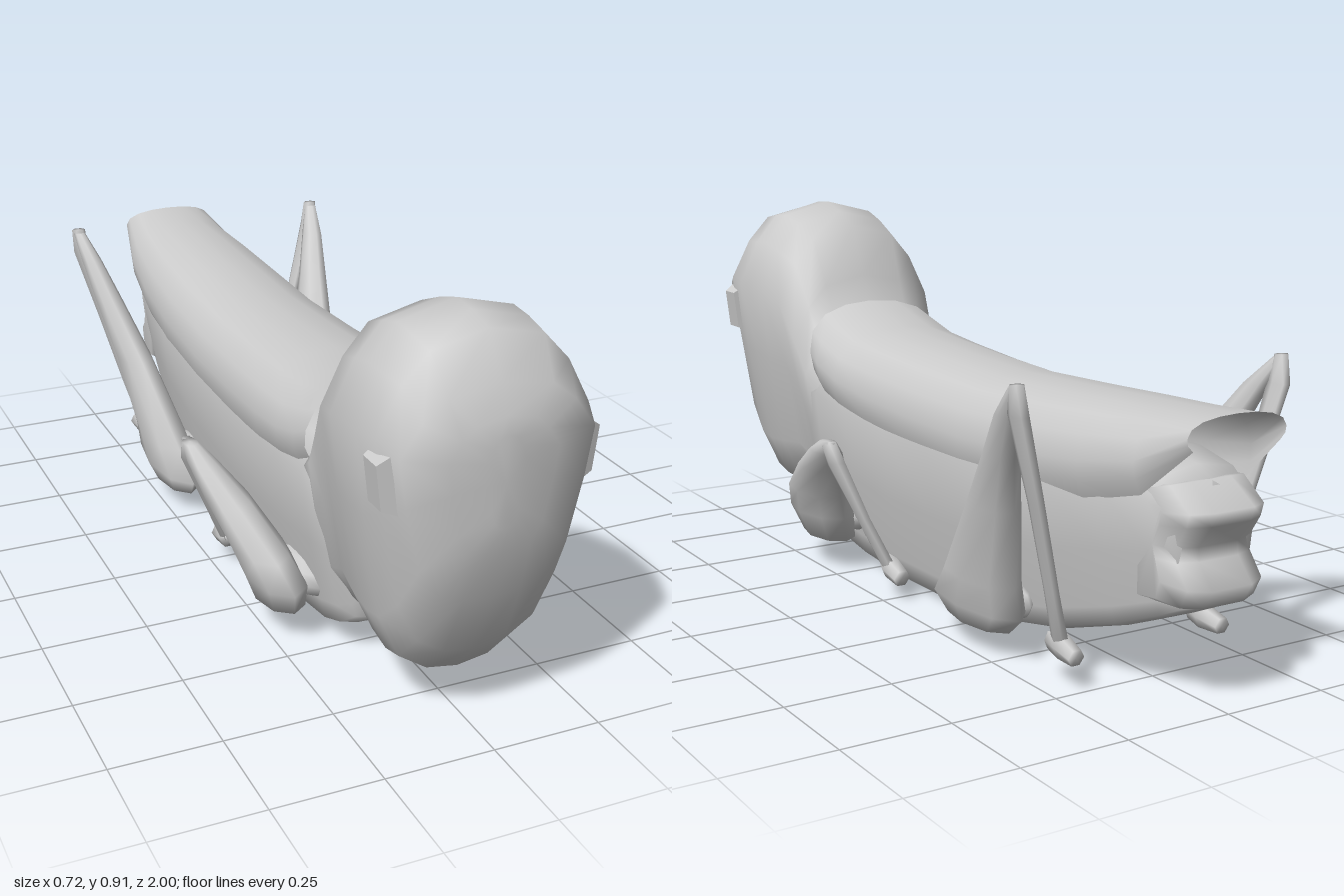
import * as THREE from 'three';

const grey = new THREE.MeshStandardMaterial({ color: 0xcccccc });
const greySheet = new THREE.MeshStandardMaterial({ color: 0xcccccc, side: THREE.DoubleSide });

// Skin over a row of rings of [x, y, z]; rings run counter-clockwise seen from the last one
function loft(name, rings, { closed = true, caps = true, material = grey } = {}) {
  const n = rings[0].length;
  const pos = rings.flat(2);
  const index = [];
  for (let i = 0; i < rings.length - 1; i++) {
    for (let j = 0; j < (closed ? n : n - 1); j++) {
      const k = (j + 1) % n;
      const a = i * n + j, b = i * n + k;
      index.push(a, b, b + n, a, b + n, a + n);
    }
  }
  if (caps) {
    [0, rings.length - 1].forEach((r) => {
      const c = pos.length / 3;
      for (let k = 0; k < 3; k++) pos.push(rings[r].reduce((s, p) => s + p[k], 0) / n);
      for (let j = 0; j < n; j++) {
        const a = r * n + j, b = r * n + ((j + 1) % n);
        index.push(c, ...(r ? [a, b] : [b, a]));
      }
    });
  }
  const g = new THREE.BufferGeometry();
  g.setAttribute('position', new THREE.Float32BufferAttribute(pos, 3));
  g.setIndex(index);
  g.computeVertexNormals();
  const mesh = new THREE.Mesh(g, material);
  mesh.name = name;
  return mesh;
}

// Mirrored upright sections [z, bottom, top, half width] sharing one half outline of [x, height]
function trunk(name, half, sections) {
  const other = half.slice().reverse().map(([x, t]) => [-x, t]);
  return loft(name, sections.map(([z, b, t, w]) =>
    [[0, 0], ...half, [0, 1], ...other].map(([x, u]) => [x * w, b + (t - b) * u, z])));
}

// Thin limb along stations [x, y, z, half width in x, half depth in the side plane]
function limb(name, side, stations) {
  return loft(name, stations.map(([x, y, z, a, b], i) => {
    const p = stations[Math.max(i - 1, 0)], q = stations[Math.min(i + 1, stations.length - 1)];
    const len = Math.hypot(q[1] - p[1], q[2] - p[2]);
    const ty = (q[1] - p[1]) / len, tz = (q[2] - p[2]) / len;
    return Array.from({ length: 6 }, (_, j) => {
      const c = Math.cos(j * Math.PI / 3) * a, s = Math.sin(j * Math.PI / 3) * b;
      return [side * x + c, y + s * tz, z - s * ty];
    });
  }));
}

// Thigh from level slices [x, y, z, half width in x, half depth in z]
function thigh(side, slices) {
  return loft('thigh', slices.map(([x, y, z, a, b]) => Array.from({ length: 8 }, (_, j) =>
    [side * x + Math.sin(j * Math.PI / 4) * a, y, z + Math.cos(j * Math.PI / 4) * b])));
}

// Folded wings: arched sheet [top z, lower edge z, top y, lower y, half width]
function wings() {
  const sections = [
    [-1, -1, 0.625, 0.56, 0.125], [-0.86, -0.87, 0.617, 0.45, 0.152], [-0.7, -0.7, 0.61, 0.405, 0.172],
    [-0.5, -0.5, 0.6, 0.375, 0.184], [-0.25, -0.25, 0.59, 0.36, 0.19], [0, 0, 0.598, 0.367, 0.197],
    [0.2, 0.2, 0.608, 0.385, 0.204], [0.34, 0.33, 0.617, 0.41, 0.208], [0.45, 0.42, 0.645, 0.435, 0.207],
    [0.52, 0.46, 0.665, 0.46, 0.2],
  ];
  const half = [[0.88, 0], [0.98, 0.2], [1, 0.42], [0.92, 0.68], [0.7, 0.87], [0.38, 0.97]];
  const left = half.slice().reverse().map(([x, t]) => [-x, t]);
  return loft('foldedWings', sections.map(([zt, zl, t, l, w]) =>
    [...half, [0, 1], ...left].map(([x, u]) => [x * w, l + (t - l) * u, zl + (zt - zl) * u])),
  { closed: false, caps: false, material: greySheet });
}

// Tail tip: notched side profile of [y, z], rounded off towards both sides
function tail() {
  const profile = [[0.47, -0.84], [0.22, -0.84], [0.228, -0.975], [0.27, -1], [0.32, -0.955],
    [0.35, -0.952], [0.4, -0.99], [0.43, -1], [0.478, -0.925]];
  const layers = [[-0.115, 0.45], [-0.095, 0.85], [-0.05, 1], [0.05, 1], [0.095, 0.85], [0.115, 0.45]];
  return loft('tailTip', layers.map(([x, k]) =>
    profile.map(([y, z]) => [x, 0.345 + (y - 0.345) * (0.8 + 0.2 * k), -0.84 + (z + 0.84) * k])));
}

export function createModel() {
  const model = new THREE.Group();
  model.name = 'grasshopper';

  model.add(trunk('head',
    [[0.3, 0.015], [0.57, 0.07], [0.77, 0.2], [0.92, 0.5], [1, 0.73], [0.78, 0.87], [0.53, 0.96]],
    [[0.4, 0.1, 0.53, 0.18], [0.51, 0.115, 0.62, 0.203], [0.56, 0.122, 0.73, 0.212], [0.62, 0.125, 0.86, 0.226],
      [0.7, 0.105, 0.893, 0.24], [0.77, 0.095, 0.915, 0.245], [0.83, 0.11, 0.91, 0.244], [0.9, 0.19, 0.895, 0.236],
      [0.96, 0.34, 0.805, 0.215], [0.985, 0.45, 0.745, 0.12], [0.995, 0.51, 0.71, 0.04]]));

  model.add(trunk('body',
    [[0.45, 0.005], [0.7, 0.03], [0.76, 0.13], [0.9, 0.45], [1, 0.8], [0.75, 0.95]],
    [[-0.94, 0.215, 0.47, 0.105], [-0.88, 0.185, 0.5, 0.125], [-0.75, 0.13, 0.52, 0.15],
      [-0.55, 0.065, 0.51, 0.175], [-0.35, 0.025, 0.5, 0.185], [-0.1, 0.005, 0.5, 0.19],
      [0.1, 0.005, 0.5, 0.195], [0.3, 0.02, 0.52, 0.2], [0.46, 0.045, 0.54, 0.2],
      [0.53, 0.07, 0.52, 0.19], [0.565, 0.1, 0.45, 0.16]]));

  model.add(wings(), tail());

  for (const side of [1, -1]) {
    const label = side > 0 ? 'left' : 'right';

    // Eye: shallow tapered block lying on the cheek
    const block = new THREE.CylinderGeometry(0.04, 0.056, 0.04, 4, 1).rotateY(Math.PI / 4).toNonIndexed();
    block.computeVertexNormals();
    const eye = new THREE.Mesh(block, grey);
    eye.rotation.z = -side * (Math.PI / 2 + 0.12);
    eye.scale.set(1.75, 1, 1);
    eye.position.set(side * 0.222, 0.615, 0.9);
    eye.name = label + 'Eye';
    model.add(eye);

    const frontLeg = new THREE.Group();
    frontLeg.name = label + 'FrontLeg';
    frontLeg.add(
      thigh(side, [[0.215, 0.085, 0.36, 0.055, 0.1], [0.23, 0.15, 0.37, 0.066, 0.128], [0.255, 0.215, 0.335, 0.062, 0.125],
        [0.292, 0.3, 0.24, 0.052, 0.085], [0.322, 0.36, 0.155, 0.034, 0.06], [0.335, 0.392, 0.115, 0.018, 0.03]]),
      limb('shank', side, [[0.336, 0.385, 0.11, 0.018, 0.025], [0.328, 0.34, 0.085, 0.02, 0.032],
        [0.27, 0.2, 0.058, 0.016, 0.022], [0.215, 0.075, 0.03, 0.016, 0.023]]),
      limb('foot', side, [[0.21, 0.092, 0.06, 0.018, 0.014], [0.21, 0.075, 0.03, 0.026, 0.028],
        [0.212, 0.062, -0.028, 0.022, 0.022]]));

    const hindLeg = new THREE.Group();
    hindLeg.name = label + 'HindLeg';
    hindLeg.add(
      thigh(side, [[0.205, 0.062, -0.38, 0.05, 0.12], [0.215, 0.11, -0.39, 0.062, 0.175], [0.225, 0.18, -0.42, 0.06, 0.135],
        [0.265, 0.37, -0.53, 0.046, 0.082], [0.3, 0.5, -0.615, 0.036, 0.05], [0.326, 0.6, -0.68, 0.026, 0.034],
        [0.343, 0.665, -0.732, 0.015, 0.015]]),
      limb('shank', side, [[0.343, 0.672, -0.737, 0.018, 0.014], [0.338, 0.61, -0.737, 0.02, 0.03],
        [0.285, 0.42, -0.723, 0.016, 0.024], [0.23, 0.22, -0.7, 0.015, 0.022], [0.19, 0.09, -0.678, 0.016, 0.026]]),
      limb('foot', side, [[0.19, 0.09, -0.64, 0.016, 0.022], [0.19, 0.088, -0.685, 0.024, 0.03],
        [0.195, 0.08, -0.743, 0.02, 0.02]]));

    // Hip plates joining the thighs to the body
    [[frontLeg, 0.14, 0.36], [hindLeg, 0.115, -0.4]].forEach(([leg, y, z]) => {
      const hip = new THREE.Mesh(new THREE.SphereGeometry(1, 8, 6), grey);
      hip.scale.set(0.045, 0.05, 0.11);
      hip.position.set(side * 0.155, y, z);
      hip.name = 'hip';
      leg.add(hip);
    });
    model.add(frontLeg, hindLeg);
  }
  return model;
}
